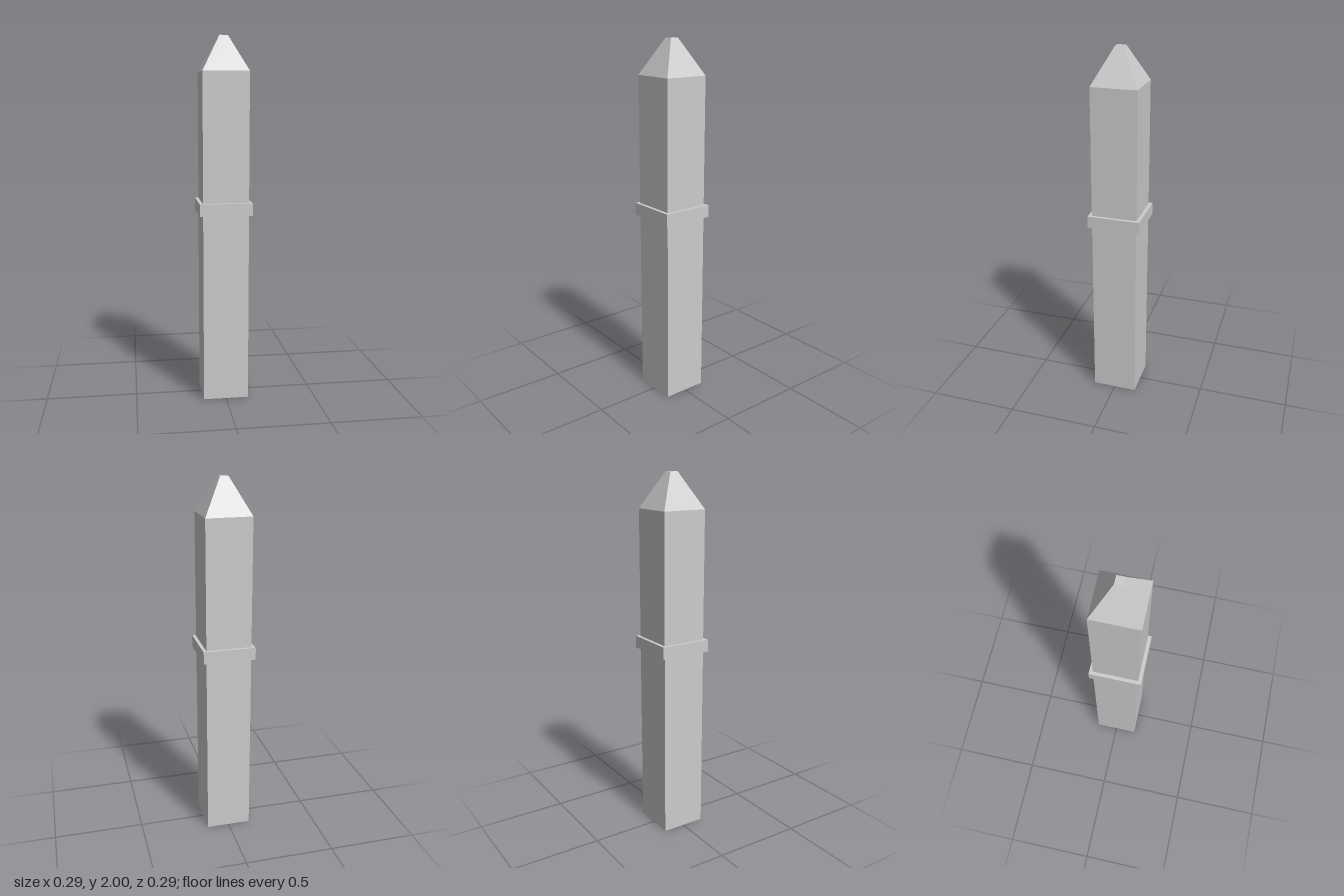
import * as THREE from 'three';

export function createModel() {
  const group = new THREE.Group();
  const stone = new THREE.MeshStandardMaterial({ color: 0xcccccc });
  stone.name = 'paleGrey';

  // Square block, optionally tapered, given half widths and a height range
  function block(name, halfBottom, halfTop, y0, y1, open = false) {
    const geometry = new THREE.CylinderGeometry(
      halfTop * Math.SQRT2, halfBottom * Math.SQRT2, y1 - y0, 4, 1, open
    ).rotateY(Math.PI / 4).toNonIndexed();
    geometry.computeVertexNormals(); // flat faces
    const mesh = new THREE.Mesh(geometry, stone);
    mesh.name = name;
    mesh.position.y = (y0 + y1) / 2;
    group.add(mesh);
  }

  // Tall square shaft
  block('shaft', 0.125, 0.125, 0, 1.81);
  // Raised band around the middle
  block('collar', 0.144, 0.144, 1.043, 1.11);
  // Tapered cap with a small flat tip
  block('cap', 0.125, 0.0225, 1.81, 2);

  return group;
}
